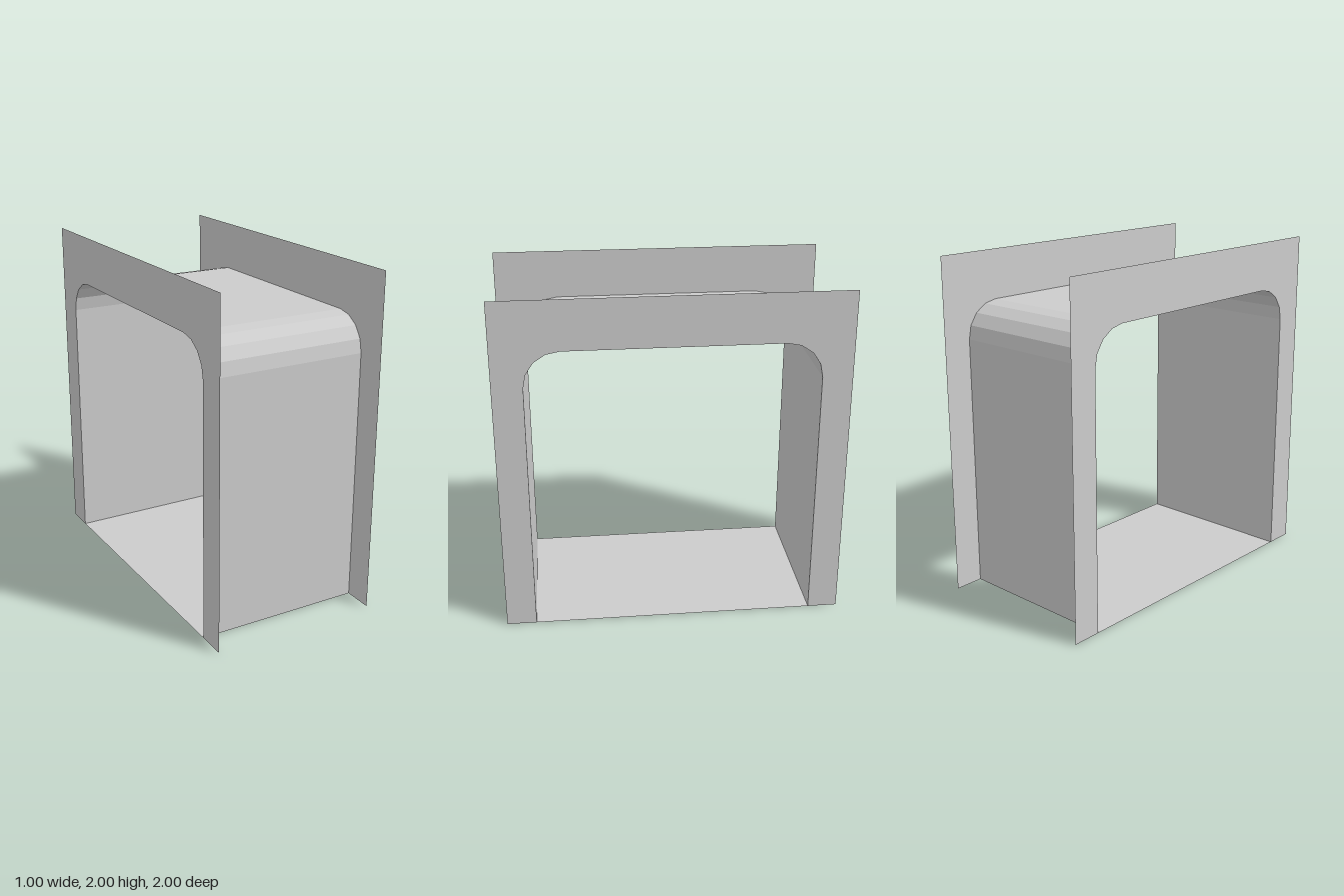
import * as THREE from 'three';

const HALF_LENGTH = 0.5; // tunnel runs along x
const HALF_WIDTH = 0.826;
const HEIGHT = 1.71;
const RADIUS = 0.206;
const CORNER_STEPS = 4;

// Arch outline as (z, y) points, from the +z foot over the top to the -z foot
function archPoints() {
  const half = [new THREE.Vector2(HALF_WIDTH, 0)];
  for (let i = 0; i <= CORNER_STEPS; i++) {
    const a = (i / CORNER_STEPS) * Math.PI / 2;
    half.push(new THREE.Vector2(
      HALF_WIDTH - RADIUS + RADIUS * Math.cos(a),
      HEIGHT - RADIUS + RADIUS * Math.sin(a)));
  }
  const mirrored = half.map(p => new THREE.Vector2(-p.x, p.y)).reverse();
  return [...half, ...mirrored];
}

// Open-ended strip that carries a path of (z, y) points along x, facing outwards
function sweepAlongX(points) {
  const positions = [];
  for (let i = 0; i < points.length - 1; i++) {
    const p = points[i], q = points[i + 1];
    const a = [-HALF_LENGTH, p.y, p.x], b = [HALF_LENGTH, p.y, p.x];
    const c = [HALF_LENGTH, q.y, q.x], d = [-HALF_LENGTH, q.y, q.x];
    positions.push(...a, ...b, ...c, ...a, ...c, ...d);
  }
  const geometry = new THREE.BufferGeometry();
  geometry.setAttribute('position', new THREE.Float32BufferAttribute(positions, 3));
  geometry.computeVertexNormals();
  return geometry;
}

export function createModel() {
  const group = new THREE.Group();
  const material = new THREE.MeshStandardMaterial({
    color: 0xcccccc, flatShading: true, side: THREE.DoubleSide,
  });
  const add = (name, geometry) => {
    const mesh = new THREE.Mesh(geometry, material);
    mesh.name = name;
    group.add(mesh);
    return mesh;
  };

  const arch = archPoints();

  // Walls and ceiling with faceted upper corners, then the flat floor
  add('tunnelShell', sweepAlongX(arch));
  add('floor', sweepAlongX([arch[arch.length - 1], arch[0]]));

  // Thin square end plates, cut out around the arch
  const plate = new THREE.Shape([
    ...arch,
    new THREE.Vector2(-1, 0), new THREE.Vector2(-1, 2),
    new THREE.Vector2(1, 2), new THREE.Vector2(1, 0),
  ]);
  const plateGeometry = new THREE.ShapeGeometry(plate).rotateY(-Math.PI / 2);
  for (const side of [1, -1]) {
    add(side > 0 ? 'leftEndPlate' : 'rightEndPlate', plateGeometry).position.x = side * HALF_LENGTH;
  }

  return group;
}
